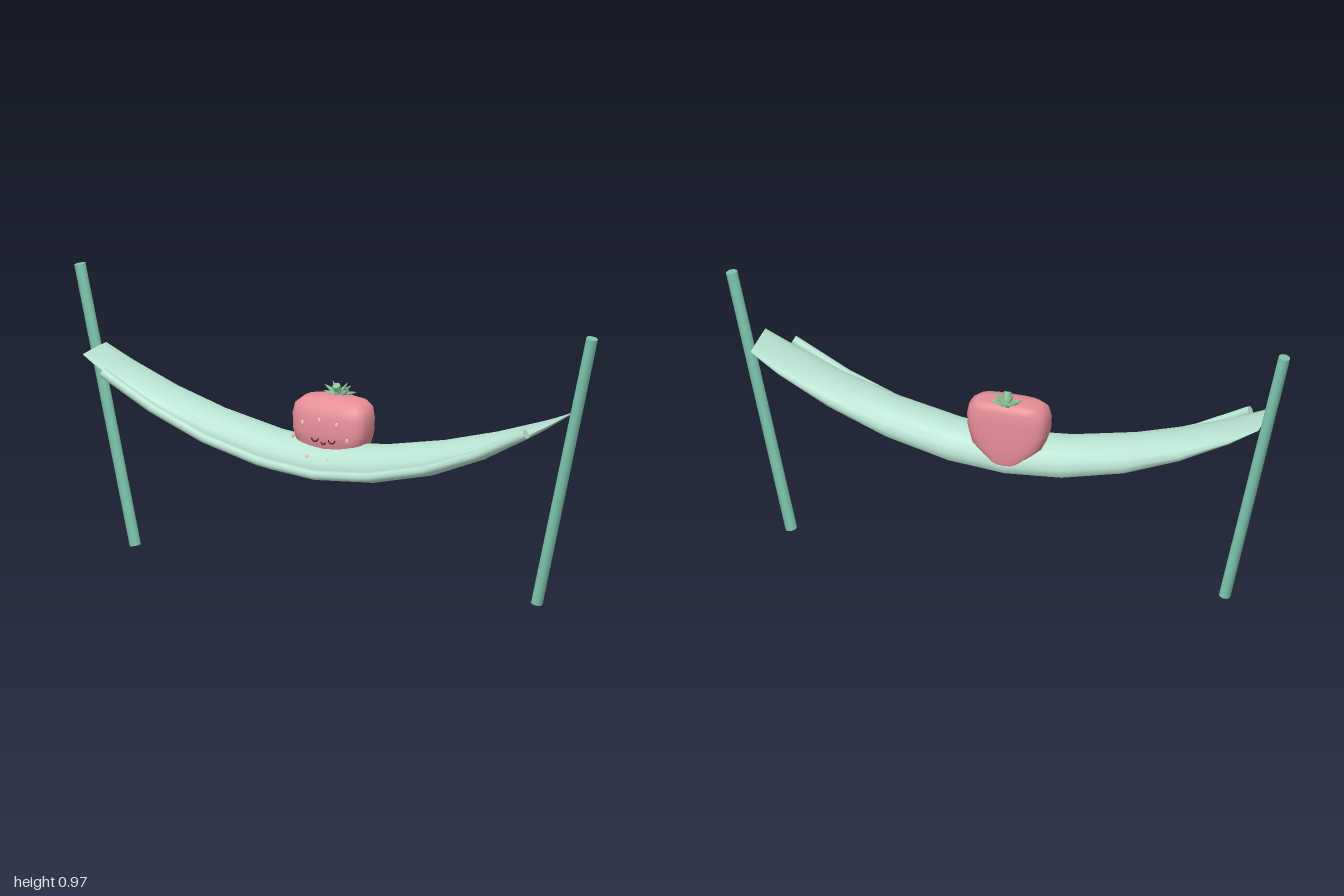
import * as THREE from 'three';

const mat = (color) => new THREE.MeshStandardMaterial({ color });
const cloth = mat(0xb9e2d2), wood = mat(0x7cc4ae), red = mat(0xe88e97);
const leafMat = mat(0x8cc49a), seedMat = mat(0xf0cdb0), dark = mat(0x4a2433);

function add(parent, name, geometry, material) {
  const m = new THREE.Mesh(geometry, material);
  m.name = name;
  parent.add(m);
  return m;
}

// Closed skin over rings of points; rings run counter-clockwise seen from the last ring
function loft(rings) {
  const n = rings[0].length, pos = [], idx = [];
  rings.forEach((r) => r.forEach((p) => pos.push(p.x, p.y, p.z)));
  for (let i = 0; i < rings.length - 1; i++) {
    for (let j = 0; j < n; j++) {
      const a = i * n + j, b = i * n + (j + 1) % n;
      idx.push(a, b, b + n, a, b + n, a + n);
    }
  }
  [0, rings.length - 1].forEach((e) => {
    const c = new THREE.Vector3();
    rings[e].forEach((p) => c.addScaledVector(p, 1 / n));
    const k = pos.length / 3;
    pos.push(c.x, c.y, c.z);
    for (let j = 0; j < n; j++) {
      const a = e * n + j, b = e * n + (j + 1) % n;
      if (e) idx.push(k, a, b); else idx.push(k, b, a);
    }
  });
  const g = new THREE.BufferGeometry();
  g.setAttribute('position', new THREE.Float32BufferAttribute(pos, 3));
  g.setIndex(idx);
  g.computeVertexNormals();
  return g;
}

// Cylinder or cone between two points
function rod(parent, name, a, b, r0, r1, sides, material) {
  const d = b.clone().sub(a);
  const m = add(parent, name, new THREE.CylinderGeometry(r1, r0, d.length(), sides), material);
  m.position.copy(a).addScaledVector(d, 0.5);
  m.quaternion.setFromUnitVectors(new THREE.Vector3(0, 1, 0), d.normalize());
  return m;
}

const V = (x, y, z) => new THREE.Vector3(x, y, z);
const sp = (v, e) => Math.sign(v) * Math.abs(v) ** e;

export function createModel() {
  const model = new THREE.Group();
  model.name = 'hammockWithStrawberry';

  // Leaning poles
  for (const s of [-1, 1]) {
    rod(model, s > 0 ? 'leftPole' : 'rightPole',
      V(s * 0.768, 0.004, -0.06), V(s * 0.98, 0.966, -0.06), 0.02, 0.02, 10, wood);
  }

  // Sagging hammock: thick in the middle, thin at both ends
  const stations = [-0.9, -0.8, -0.62, -0.42, -0.2, 0, 0.2, 0.42, 0.62, 0.8, 0.9];
  const sheet = stations.map((x) => {
    const t = Math.abs(x) / 0.9;
    const bottom = 0.36 + 0.328 * t ** 2;
    const top = 0.477 + 0.215 * t ** 1.6;
    const mid = bottom + (top - bottom) * 0.35;
    const w = t > 0.95 ? 0.086 : 0.097;
    return Array.from({ length: 16 }, (_, j) => {
      const a = j / 16 * Math.PI * 2, c = Math.cos(a);
      const y = c > 0 ? mid + (top - mid) * c : mid + (mid - bottom) * sp(c, 0.6);
      return V(x, y, -0.016 + w * sp(Math.sin(a), c > 0 ? 0.95 : 0.6));
    });
  });
  add(model, 'hammock', loft(sheet), cloth);

  // Rolled hem along the front
  const hem = new THREE.CurvePath();
  const hemPts = [-0.81, -0.62, -0.42, -0.2, 0, 0.2, 0.42, 0.62, 0.81]
    .map((x) => V(x, 0.393 + 0.253 * (Math.abs(x) / 0.81) ** 1.9, 0.097));
  for (let i = 1; i < hemPts.length; i++) hem.add(new THREE.LineCurve3(hemPts[i - 1], hemPts[i]));
  add(model, 'frontHem', new THREE.TubeGeometry(hem, 32, 0.017, 8), cloth);
  [1, -1].forEach((s) => {
    const e = hemPts[s > 0 ? 8 : 0], inner = hemPts[s > 0 ? 7 : 1];
    const cap = add(model, 'hemEnd', new THREE.CircleGeometry(0.017, 8), cloth);
    cap.position.copy(e);
    cap.quaternion.setFromUnitVectors(V(0, 0, 1), e.clone().sub(inner).normalize());
  });

  // Strawberry body: [height, half width, back z, front z]
  const berry = new THREE.Group();
  berry.name = 'strawberry';
  model.add(berry);
  const levels = [
    [0.38, 0.025, -0.105, -0.06], [0.42, 0.07, -0.116, 0.0], [0.47, 0.125, -0.119, 0.03],
    [0.52, 0.14, -0.119, 0.033], [0.57, 0.143, -0.118, 0.03], [0.605, 0.136, -0.115, 0.02],
    [0.625, 0.112, -0.108, 0.002], [0.634, 0.06, -0.095, -0.03],
  ];
  add(berry, 'body', loft(levels.map(([y, w, back, front]) =>
    Array.from({ length: 24 }, (_, j) => {
      const a = j / 24 * Math.PI * 2;
      return V(w * sp(Math.sin(a), 0.6), y,
        (back + front) / 2 + (front - back) / 2 * sp(Math.cos(a), 0.6));
    }))), red);

  // Leaf crown and stem
  const crown = V(0, 0.626, -0.085);
  for (let i = 0; i < 7; i++) {
    const a = i / 7 * Math.PI * 2;
    const tip = V(Math.sin(a) * 0.062, 0.645 + 0.012 * (i % 2), -0.085 + Math.cos(a) * 0.035);
    rod(berry, 'leaf', crown, tip, 0.016, 0.001, 4, leafMat);
  }
  for (const s of [-1, 1]) rod(berry, 'leaf', crown, V(s * 0.028, 0.674, -0.09), 0.016, 0.001, 4, leafMat);
  rod(berry, 'stem', crown, V(0, 0.668, -0.062), 0.012, 0.014, 8, leafMat);

  // Seeds
  const seeds = [
    [-0.08, 0.55, 0.031], [-0.016, 0.566, 0.031], [0.05, 0.557, 0.031], [0.09, 0.507, 0.032],
    [-0.12, 0.5, 0.025], [-0.045, 0.443, 0.065], [0.034, 0.438, 0.066],
  ];
  const seedGeo = new THREE.SphereGeometry(0.007, 8, 6);
  for (const [x, y, z] of seeds) {
    const seed = add(berry, 'seed', seedGeo, seedMat);
    seed.position.set(x, y, z);
    seed.scale.set(0.8, 1.4, 0.6);
  }

  // Sleeping eyes and smile
  for (const [name, x, y, r] of [['eye', -0.032, 0.503, 0.012], ['eye', 0.032, 0.503, 0.012], ['mouth', 0, 0.493, 0.008]]) {
    const arc = add(berry, name, new THREE.TorusGeometry(r, 0.0025, 5, 10, Math.PI), dark);
    arc.position.set(x, y, 0.033);
    arc.rotation.z = Math.PI;
  }
  return model;
}
